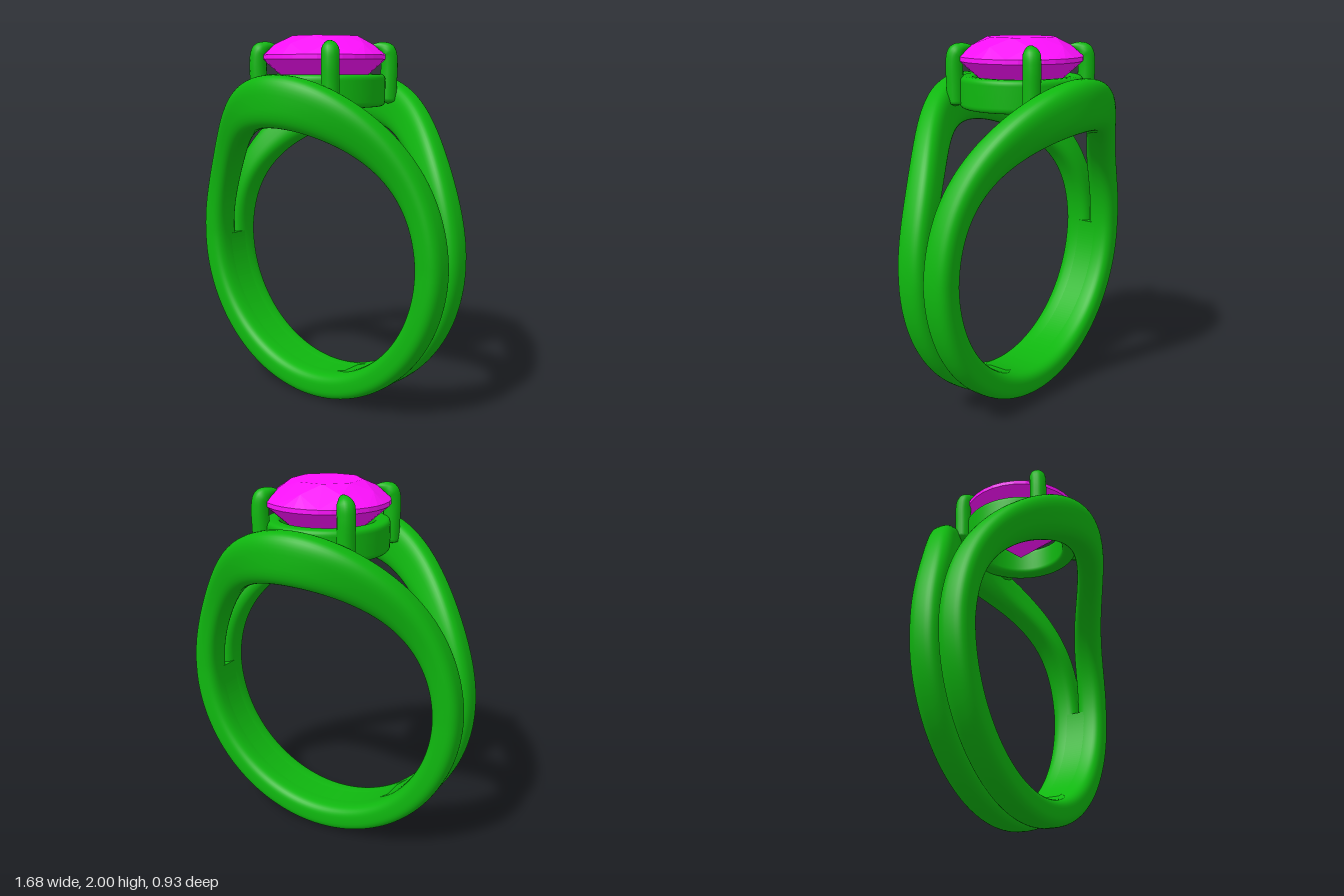
import * as THREE from 'three';
import { ConvexGeometry } from 'three/addons/geometries/ConvexGeometry.js';

const CENTRE_Y = 0.84;  // centre of the finger hole
const HOLE_R = 0.69;

const metal = new THREE.MeshStandardMaterial({ color: 0x0fb70f });
const stone = new THREE.MeshStandardMaterial({ color: 0xff10ff, flatShading: true });

// Skin of rows x cols points; each row is a closed loop, rows may close too
function loft(rows, cols, closeRows, point) {
  const pos = [], index = [];
  for (let i = 0; i < rows; i++)
    for (let j = 0; j < cols; j++) pos.push(...point(i, (j / cols) * Math.PI * 2));
  const last = closeRows ? rows : rows - 1;
  for (let i = 0; i < last; i++) {
    for (let j = 0; j < cols; j++) {
      const i2 = (i + 1) % rows, j2 = (j + 1) % cols;
      const a = i * cols + j, b = i * cols + j2, c = i2 * cols + j, d = i2 * cols + j2;
      index.push(a, b, c, b, d, c);
    }
  }
  const geo = new THREE.BufferGeometry();
  geo.setAttribute('position', new THREE.Float32BufferAttribute(pos, 3));
  geo.setIndex(index);
  geo.computeVertexNormals();
  return geo;
}

function add(parent, name, geometry, material) {
  const mesh = new THREE.Mesh(geometry, material);
  mesh.name = name;
  parent.add(mesh);
  return mesh;
}

const softPow = (v, e) => Math.sign(v) * Math.pow(Math.abs(v), e);

// One strand of the split shank: grows taller and swings outward near the top
function strandGeometry() {
  const rows = 160;
  return loft(rows, 40, true, (i, phi) => {
    const t = (i / rows) * Math.PI * 2;
    const c = Math.max(0, Math.cos(t));
    const outer = 0.838 + 0.122 * Math.pow(c, 3.3);
    const zMid = 0.083 + 0.27 * Math.pow(c, 4) + 0.03 * c;
    const r = (HOLE_R + outer) / 2 + ((outer - HOLE_R) / 2) * softPow(Math.cos(phi), 0.7);
    const z = zMid + 0.082 * softPow(Math.sin(phi), 0.7);
    return [r * Math.sin(t), CENTRE_Y + r * Math.cos(t), z];
  });
}

// Smooth inner wall joining the strands around the lower half
function linerGeometry() {
  const s = new THREE.Shape();
  s.absarc(0, 0, 0.755, Math.PI, Math.PI * 2, false);
  s.absarc(0, 0, HOLE_R + 0.001, Math.PI * 2, Math.PI, true);
  const geo = new THREE.ExtrudeGeometry(s, { depth: 0.2, bevelEnabled: false, curveSegments: 64 });
  return geo.translate(0, CENTRE_Y, -0.1);
}

// Rounded collar beneath the stone
function collarGeometry() {
  const inner = 0.245, outer = 0.33, low = 1.63, high = 1.8, r = 0.03;
  const profile = new THREE.Shape();
  profile.moveTo(inner + r, low);
  profile.lineTo(outer - r, low);
  profile.quadraticCurveTo(outer, low, outer, low + r);
  profile.lineTo(outer, high - r);
  profile.quadraticCurveTo(outer, high, outer - r, high);
  profile.lineTo(inner + r, high);
  profile.quadraticCurveTo(inner, high, inner, high - r);
  profile.lineTo(inner, low + r);
  profile.quadraticCurveTo(inner, low, inner + r, low);
  return new THREE.LatheGeometry(profile.getPoints(6), 64);
}

// Upright claw that bends over the stone to a point; local x is outward
function prongGeometry() {
  const path = new THREE.CatmullRomCurve3([
    [0.35, 1.64], [0.352, 1.75], [0.354, 1.86], [0.345, 1.915], [0.315, 1.94], [0.255, 1.955],
  ].map(([x, y]) => new THREE.Vector3(x, y, 0)));
  const rows = 36;
  return loft(rows + 1, 16, false, (i, phi) => {
    const u = i / rows;
    const p = path.getPoint(u), t = path.getTangent(u);
    const taper = Math.max(0, (u - 0.6) / 0.4);
    const r = i === 0 ? 0 : 0.046 * (1 - Math.pow(taper, 1.7)) + 0.0005;
    const n = r * Math.cos(phi);
    return [p.x + n * t.y, p.y - n * t.x, -r * Math.sin(phi)];
  });
}

// Round brilliant cut: table, crown, girdle, pavilion, culet
function gemGeometry() {
  const points = [new THREE.Vector3(0, 1.59, 0)];
  const rings = [
    [8, 0.185, 2.0, 0.5], [8, 0.265, 1.957, 0], [32, 0.33, 1.9, 0],
    [32, 0.33, 1.877, 0], [8, 0.19, 1.763, 0.5],
  ];
  for (const [n, r, y, shift] of rings) {
    for (let k = 0; k < n; k++) {
      const a = ((k + shift) / n) * Math.PI * 2;
      points.push(new THREE.Vector3(r * Math.sin(a), y, r * Math.cos(a)));
    }
  }
  return new ConvexGeometry(points);
}

export function createModel() {
  const ring = new THREE.Group();
  ring.name = 'ring';

  const strand = strandGeometry();
  add(ring, 'frontStrand', strand, metal);
  add(ring, 'backStrand', strand, metal).rotation.y = Math.PI;
  add(ring, 'shankLiner', linerGeometry(), metal);

  add(ring, 'collar', collarGeometry(), metal);
  const prong = prongGeometry();
  for (let k = 0; k < 4; k++)
    add(ring, 'prong', prong, metal).rotation.y = Math.PI / 4 + (k * Math.PI) / 2;

  add(ring, 'gemstone', gemGeometry(), stone);
  return ring;
}
